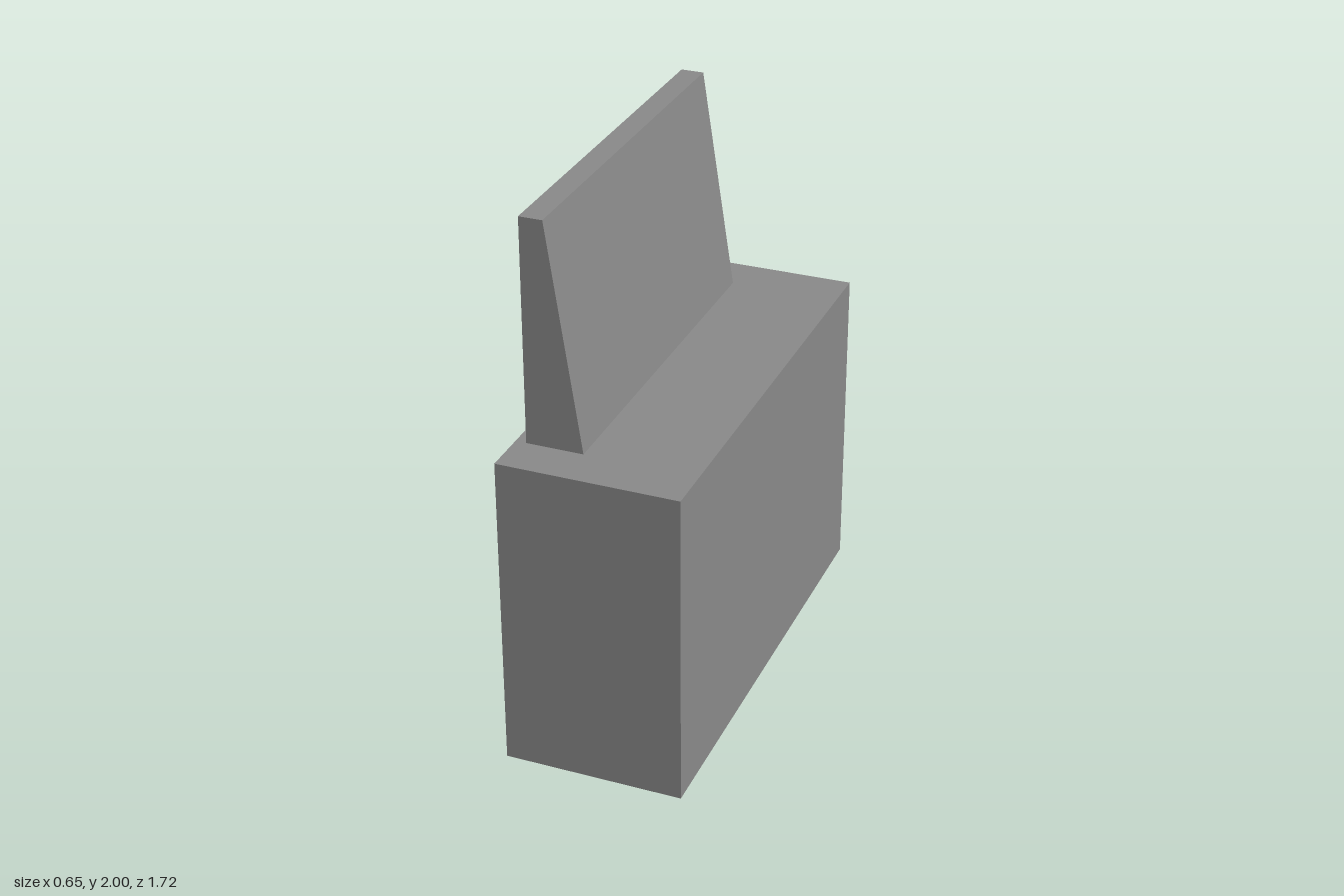
import * as THREE from 'three';

const BASE_H = 1.18;

export function createModel() {
  const group = new THREE.Group();
  const darkGrey = new THREE.MeshStandardMaterial({ color: 0x888888, flatShading: true });

  // Solid block resting on the ground
  const base = new THREE.Mesh(new THREE.BoxGeometry(0.654, BASE_H, 1.722), darkGrey);
  base.name = 'base';
  base.position.y = BASE_H / 2;
  group.add(base);

  // Upright panel: vertical on the right, sloping on the left, extruded along z
  const depth = 1.396;
  const profile = new THREE.Shape([
    new THREE.Vector2(-0.288, BASE_H),
    new THREE.Vector2(-0.081, BASE_H),
    new THREE.Vector2(-0.204, 2),
    new THREE.Vector2(-0.288, 2),
  ]);
  const panelGeometry = new THREE.ExtrudeGeometry(profile, { depth, bevelEnabled: false });
  panelGeometry.translate(0, 0, -depth / 2);
  const panel = new THREE.Mesh(panelGeometry, darkGrey);
  panel.name = 'taperedPanel';
  group.add(panel);

  return group;
}
